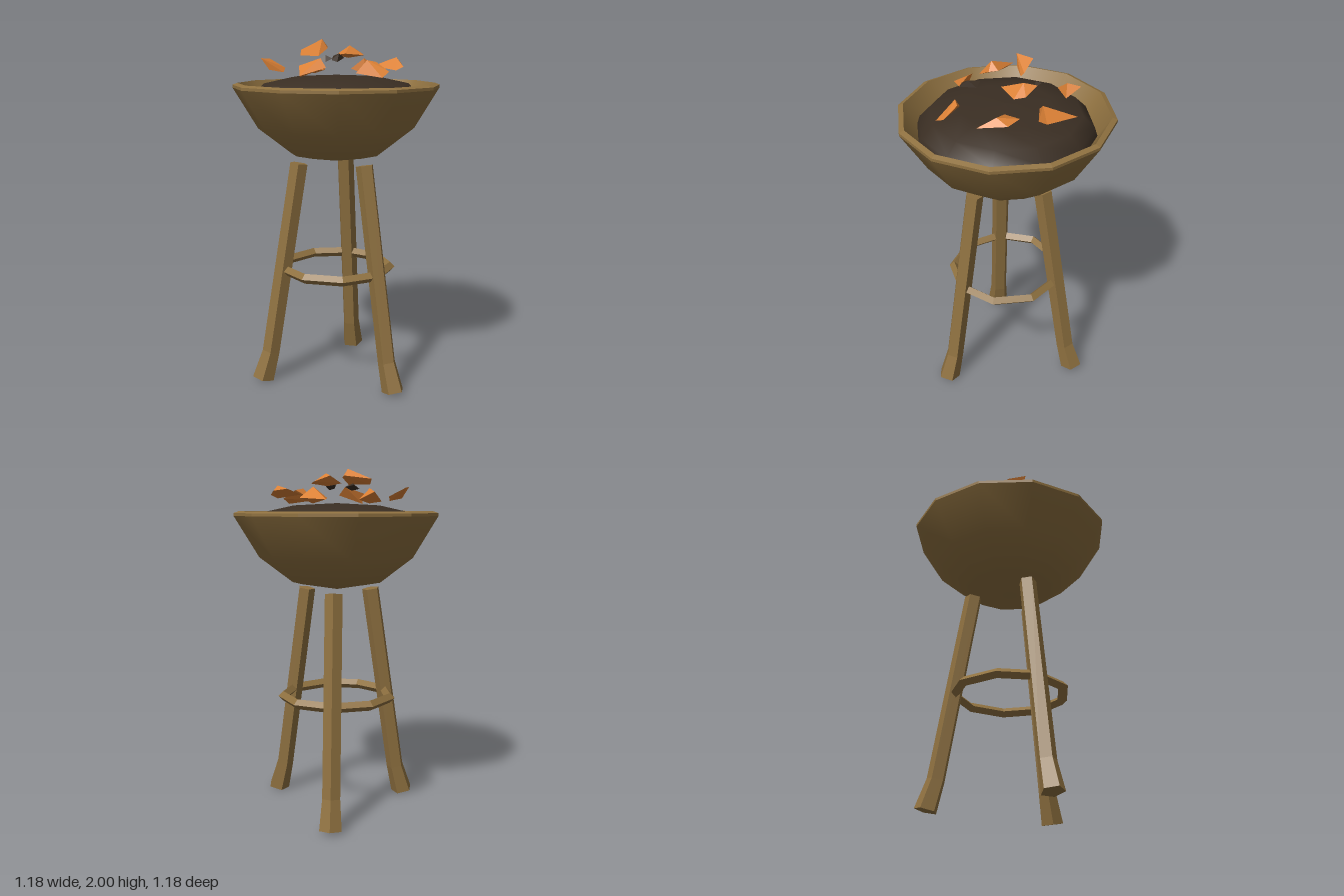
import * as THREE from 'three';
import { ConvexGeometry } from 'three/addons/geometries/ConvexGeometry.js';

const wood = new THREE.MeshStandardMaterial({ name: 'bronze brown', color: 0x8f7140 });
const ash = new THREE.MeshStandardMaterial({ name: 'dark ash', color: 0x3a2e23 });
const ember = new THREE.MeshStandardMaterial({ name: 'ember orange', color: 0xdb8035 });

// Faceted normals for low-poly parts
function flat(geometry) {
  const g = geometry.index ? geometry.toNonIndexed() : geometry;
  g.computeVertexNormals();
  return g;
}

function lathe(points) {
  return new THREE.LatheGeometry(points.map(([r, y]) => new THREE.Vector2(r, y)), 12);
}

// Five-sided leg with a flared foot; local +z points outward
function legGeometry() {
  const rows = [
    { out: 0.455, y: 0.013, radius: 0.066, tilt: 0.22 },
    { out: 0.405, y: 0.18, radius: 0.053, tilt: 0.2 },
    { out: 0.222, y: 1.305, radius: 0.052, tilt: 0.16 },
  ];
  const g = new THREE.CylinderGeometry(1, 1, 1, 5, 2);
  const p = g.attributes.position;
  for (let i = 0; i < p.count; i++) {
    const row = rows[Math.round((p.getY(i) + 0.5) * 2)];
    const x = p.getX(i) * row.radius;
    const z = p.getZ(i) * row.radius;
    p.setXYZ(i, x, row.y + z * Math.sin(row.tilt), row.out + z * Math.cos(row.tilt));
  }
  return flat(g);
}

export function createModel() {
  const model = new THREE.Group();
  model.name = 'brazier';
  const add = (name, geometry, material, parent = model) => {
    const mesh = new THREE.Mesh(geometry, material);
    mesh.name = name;
    parent.add(mesh);
    return mesh;
  };

  // Bowl: smooth outside and inside, crisp rim
  const bowl = new THREE.Group();
  bowl.name = 'bowl';
  model.add(bowl);
  add('bowlOutside', lathe([[0, 1.31], [0.26, 1.355], [0.45, 1.5], [0.59, 1.732]]), wood, bowl);
  add('bowlRim', flat(lathe([[0.59, 1.732], [0.59, 1.748], [0.562, 1.758]])), wood, bowl);
  add('bowlInside', lathe([[0.562, 1.758], [0.44, 1.56]]), wood, bowl);

  // Mound of ash
  add('ashMound', lathe([[0.495, 1.63], [0.475, 1.69], [0.41, 1.755], [0.25, 1.79], [0, 1.803]]), ash);

  // Three splayed legs
  const leg = legGeometry();
  for (let i = 0; i < 3; i++) {
    add('leg' + (i + 1), leg, wood).rotation.y = Math.PI / 4 + (i * Math.PI * 2) / 3;
  }

  // Nine-sided ring bracing the legs
  const ring = new THREE.TorusGeometry(0.32, 0.029, 4, 9);
  ring.rotateX(Math.PI / 2).rotateY(-Math.PI / 4).translate(0, 0.677, 0);
  add('braceRing', flat(ring), wood);

  // Angular shards hovering over the mound
  const shards = new THREE.Group();
  shards.name = 'shards';
  model.add(shards);
  const shard = (name, material, ...points) =>
    add(name, new ConvexGeometry(points.map((q) => new THREE.Vector3(...q))), material, shards);

  shard('emberBackRight', ember, [-0.2, 1.81, -0.255], [-0.13, 1.86, -0.385],
    [-0.06, 1.82, -0.31], [-0.12, 1.88, -0.31], [-0.12, 1.8, -0.3]);
  shard('emberBackLeft', ember, [0.13, 1.82, -0.385], [0.25, 1.83, -0.24],
    [0.17, 1.8, -0.19], [0.09, 1.83, -0.185], [0.17, 1.89, -0.21]);
  shard('emberMiddle', ember, [0, 1.91, -0.13], [0.07, 1.95, -0.17], [0.15, 1.92, -0.12],
    [0.16, 1.91, -0.06], [0.05, 1.92, 0.02], [0.08, 1.965, -0.1], [0.07, 1.895, -0.08]);
  shard('emberRight', ember, [-0.425, 1.895, 0], [-0.38, 1.89, -0.1],
    [-0.29, 1.84, -0.06], [-0.3, 1.815, -0.04], [-0.38, 1.83, -0.01]);
  shard('emberLeft', ember, [0.21, 1.85, -0.02], [0.3, 1.88, -0.11], [0.37, 1.87, -0.06],
    [0.37, 1.85, 0.095], [0.33, 1.83, 0.1], [0.34, 1.9, 0]);
  shard('emberTop', ember, [-0.2, 1.94, -0.01], [-0.05, 1.96, 0.05], [-0.05, 1.95, 0.1],
    [-0.1, 1.91, 0.16], [-0.2, 1.91, 0.03], [-0.08, 2, 0.09]);
  shard('emberFrontRight', ember, [-0.205, 1.86, 0.215], [-0.09, 1.9, 0.22],
    [-0.06, 1.85, 0.26], [-0.2, 1.81, 0.32], [-0.2, 1.8, 0.24]);
  shard('emberFrontLeft', ember, [0.1, 1.82, 0.23], [0.21, 1.88, 0.22],
    [0.275, 1.83, 0.28], [0.235, 1.8, 0.33], [0.16, 1.89, 0.24]);
  shard('cinderBack', ash, [-0.1, 1.88, -0.14], [-0.06, 1.9, -0.18],
    [-0.02, 1.89, -0.14], [-0.06, 1.87, -0.12], [-0.06, 1.91, -0.15]);
  shard('cinderFront', ash, [-0.02, 1.91, 0.14], [0.04, 1.9, 0.15],
    [0, 1.88, 0.25], [-0.03, 1.89, 0.24], [0.01, 1.925, 0.2]);

  return model;
}
